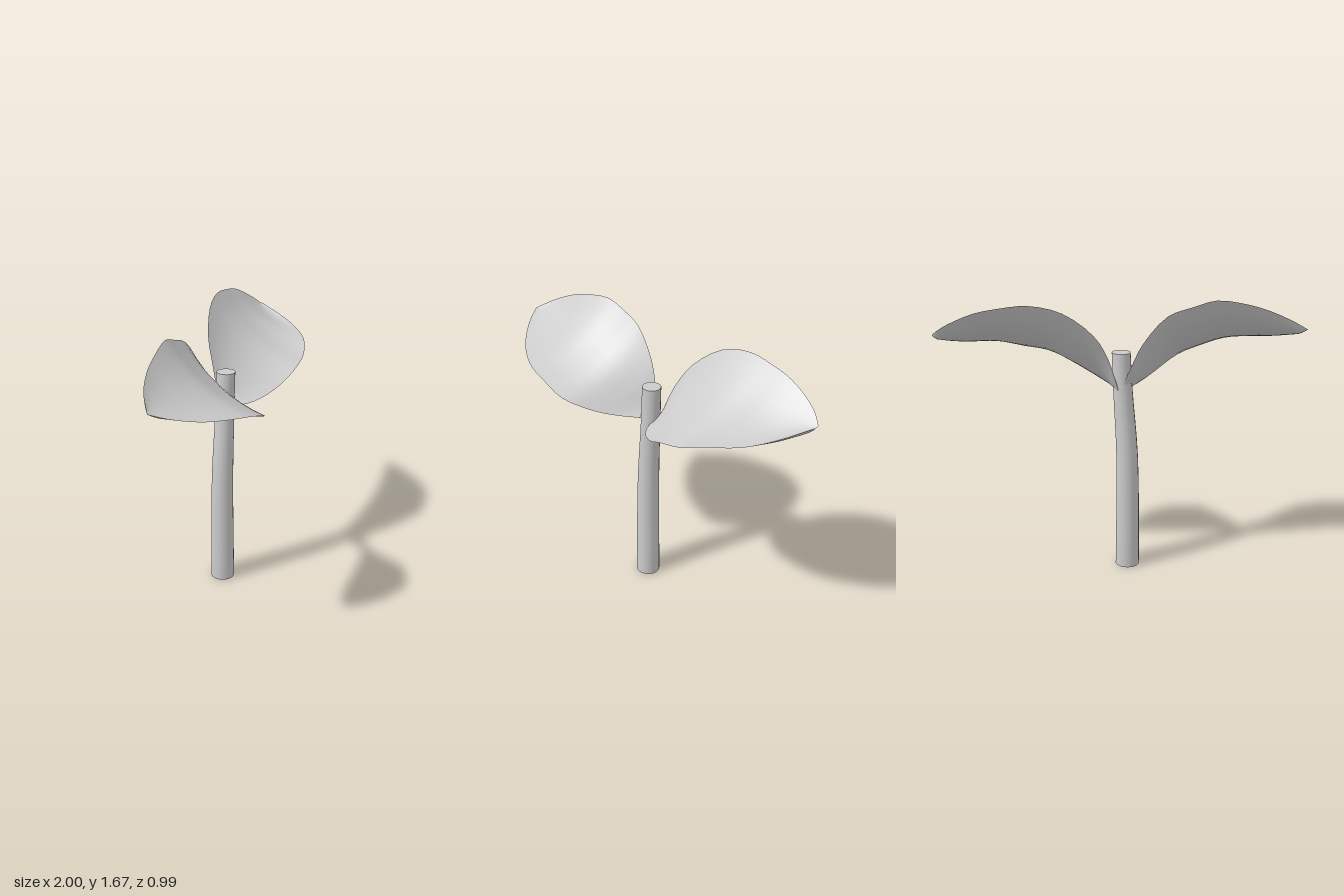
import * as THREE from 'three';

const DOWN = new THREE.Vector3(0, -0.83, -0.55); // underside direction of the tilted leaves

// Each row: back edge x,y,z then front edge x,y,z, from stem to tip
const LEFT_LEAF = [
  [0.03, 1.13, -0.09, 0.05, 1.13, -0.03],
  [0.07, 1.33, -0.16, 0.13, 1.135, 0.05],
  [0.13, 1.48, -0.24, 0.25, 1.17, 0.11],
  [0.28, 1.62, -0.34, 0.38, 1.225, 0.145],
  [0.45, 1.665, -0.41, 0.5, 1.285, 0.155],
  [0.6, 1.65, -0.45, 0.63, 1.32, 0.12],
  [0.74, 1.62, -0.48, 0.76, 1.37, 0.04],
  [0.88, 1.56, -0.495, 0.88, 1.395, -0.1],
  [0.95, 1.52, -0.49, 0.95, 1.43, -0.25],
  [1.0, 1.485, -0.475, 1.0, 1.475, -0.44],
];
const RIGHT_LEAF = [
  [0.02, 1.13, -0.08, 0.01, 1.13, -0.02],
  [-0.05, 1.28, -0.105, -0.06, 1.15, 0.13],
  [-0.12, 1.42, -0.115, -0.12, 1.185, 0.26],
  [-0.26, 1.585, -0.1, -0.22, 1.255, 0.41],
  [-0.4, 1.64, -0.07, -0.35, 1.31, 0.46],
  [-0.52, 1.675, -0.03, -0.48, 1.355, 0.49],
  [-0.68, 1.65, 0.035, -0.62, 1.38, 0.47],
  [-0.8, 1.61, 0.085, -0.78, 1.405, 0.41],
  [-0.92, 1.545, 0.16, -0.92, 1.445, 0.325],
  [-1.0, 1.48, 0.25, -1.0, 1.48, 0.25],
];

// Cupped leaf: an upper and a lower skin lofted between the two edges
function leafGeometry(rows, flip) {
  const across = 8, along = 27;
  const edge = (o) => new THREE.CatmullRomCurve3(
    rows.map((r) => new THREE.Vector3(r[o], r[o + 1], r[o + 2])));
  const back = edge(0), front = edge(3);
  const positions = [], index = [];
  for (const lower of [false, true]) {
    const start = positions.length / 3;
    for (let i = 0; i <= along; i++) {
      const a = back.getPoint(i / along), b = front.getPoint(i / along);
      const width = a.distanceTo(b);
      for (let j = 0; j <= across; j++) {
        const v = j / across, bow = 4 * v * (1 - v);
        const sag = 0.1 * width * bow;
        const thick = lower ? Math.min(0.02, width * 0.2) * Math.sqrt(bow) : 0;
        const p = a.clone().lerp(b, v).addScaledVector(DOWN, sag + thick);
        positions.push(p.x, p.y, p.z);
      }
    }
    for (let i = 0; i < along; i++) {
      for (let j = 0; j < across; j++) {
        const a = start + i * (across + 1) + j, b = a + 1;
        const c = a + across + 1, d = c + 1;
        if (lower !== flip) index.push(a, c, b, b, c, d);
        else index.push(a, b, c, b, d, c);
      }
    }
  }
  const geometry = new THREE.BufferGeometry();
  geometry.setAttribute('position', new THREE.Float32BufferAttribute(positions, 3));
  geometry.setIndex(index);
  geometry.computeVertexNormals();
  return geometry;
}

// Tapered stem with a gentle lean; key rows are height, centre x, radius
function stemGeometry() {
  const keys = [[0, -0.007, 0.073], [0.7, -0.006, 0.065], [1.12, 0.02, 0.057], [1.345, 0.03, 0.055]];
  const curve = new THREE.CatmullRomCurve3(keys.map((k) => new THREE.Vector3(...k)));
  const geometry = new THREE.CylinderGeometry(1, 1, 1, 16, 12);
  const pos = geometry.attributes.position;
  for (let i = 0; i < pos.count; i++) {
    const k = curve.getPoint(THREE.MathUtils.clamp(pos.getY(i) + 0.5, 0, 1));
    pos.setXYZ(i, k.y + pos.getX(i) * k.z, k.x, -0.037 + pos.getZ(i) * k.z);
  }
  geometry.computeVertexNormals();
  return geometry;
}

export function createModel() {
  const group = new THREE.Group();
  group.name = 'sprout';
  const grey = new THREE.MeshStandardMaterial({ color: 0xcccccc });
  grey.name = 'light grey';
  const add = (name, geometry) => {
    const mesh = new THREE.Mesh(geometry, grey);
    mesh.name = name;
    group.add(mesh);
  };
  add('stem', stemGeometry());
  add('leftLeaf', leafGeometry(LEFT_LEAF, false));
  add('rightLeaf', leafGeometry(RIGHT_LEAF, true));
  return group;
}
